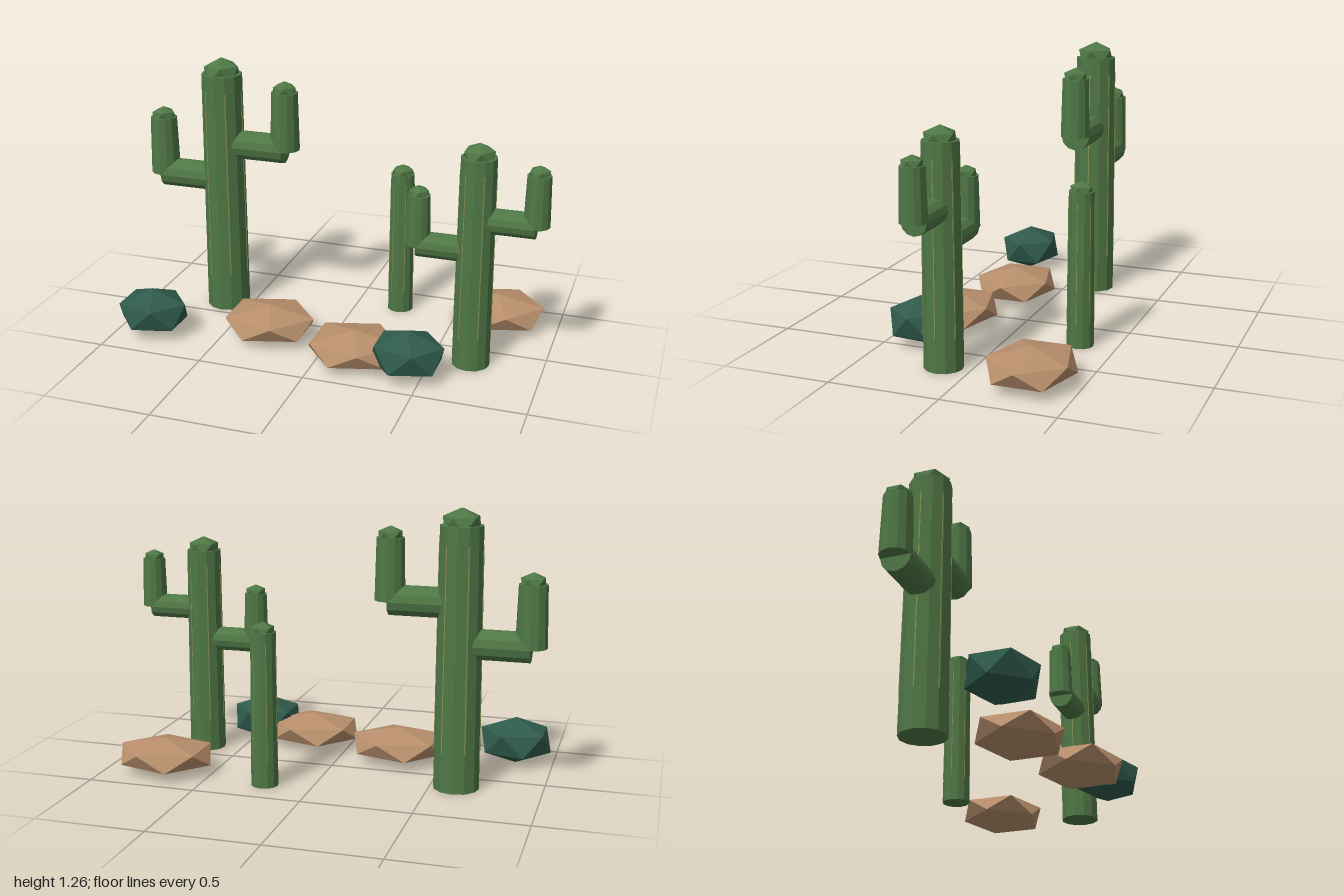
import * as THREE from 'three';

const mat = (name, color) => {
  const m = new THREE.MeshStandardMaterial({ color, flatShading: true });
  m.name = name;
  return m;
};

export function createModel() {
  const green = mat('cactusGreen', 0x4f7745);
  const spine = mat('ribOlive', 0x7f8f52);
  const tan = mat('sandstone', 0xb88f6c);
  const teal = mat('shrubGreen', 0x2f5a4b);
  const model = new THREE.Group();

  // Icosahedron standing on a corner, with one upper-ring corner toward +x
  const gem = new THREE.IcosahedronGeometry(1, 0);
  gem.rotateZ(-Math.atan(2 / (1 + Math.sqrt(5))));

  function add(parent, name, geometry, material, x, y, z) {
    const mesh = new THREE.Mesh(geometry, material);
    mesh.name = name;
    mesh.position.set(x, y, z);
    parent.add(mesh);
    return mesh;
  }

  function addGem(parent, name, material, [x, y, z], [rx, ry, rz]) {
    add(parent, name, gem, material, x, y, z).scale.set(rx, ry, rz);
  }

  // Tapered upright stem with a faceted cap
  function stem(parent, name, x, y, rBottom, rTop, height) {
    add(parent, name, new THREE.CylinderGeometry(rTop, rBottom, height, 12), green, x, y + height / 2, 0);
    const r = rTop * 0.98;
    addGem(parent, name + 'Cap', green, [x, y + height + 0.006, 0], [r, r * 0.74, r]);
  }

  // Elbow arm: horizontal branch from the trunk, then an upright stem
  function arm(parent, name, side, y) {
    const reach = 0.313;
    const branch = new THREE.CylinderGeometry(0.069, 0.069, reach, 12).rotateZ(Math.PI / 2);
    add(parent, name + 'Branch', branch, green, side * reach / 2, y, 0);
    stem(parent, name + 'Stem', side * reach, y, 0.07, 0.063, 0.277);
  }

  function cactus(name, x, z, scale, hasArms) {
    const group = new THREE.Group();
    group.name = name;
    stem(group, 'trunk', 0, 0, 0.104, 0.096, 1.18);
    // Fine ribs barely breaking the trunk surface
    for (let i = 0; i < 6; i++) {
      const a = i * Math.PI / 3;
      const rib = new THREE.BoxGeometry(0.006, 0.92, 0.004);
      rib.rotateX(-0.008 / 1.18);
      rib.translate(0, 0, 0.0995);
      rib.rotateY(a + Math.PI / 2);
      add(group, 'rib', rib, spine, 0, 0.64, 0);
    }
    if (hasArms) {
      arm(group, 'rightArm', -1, 0.662);
      arm(group, 'leftArm', 1, 0.838);
    }
    group.position.set(x, 0, z);
    group.scale.setScalar(scale);
    model.add(group);
  }

  cactus('tallCactus', -0.617, -0.127, 1, true);
  cactus('mediumCactus', 0.675, 0.125, 0.833, true);
  cactus('smallCactus', 0.217, -0.333, 0.598, false);

  // Flat rocks
  for (const [x, z] of [[-0.285, 0.165], [0.173, 0.288], [0.717, -0.29]])
    addGem(model, 'rock', tan, [x, 0.084, z], [0.245, 0.08, 0.208]);

  // Low shrubs
  for (const [x, z] of [[-0.825, 0.292], [0.435, 0.335]])
    addGem(model, 'shrub', teal, [x, 0.112, z], [0.185, 0.112, 0.16]);

  return model;
}
